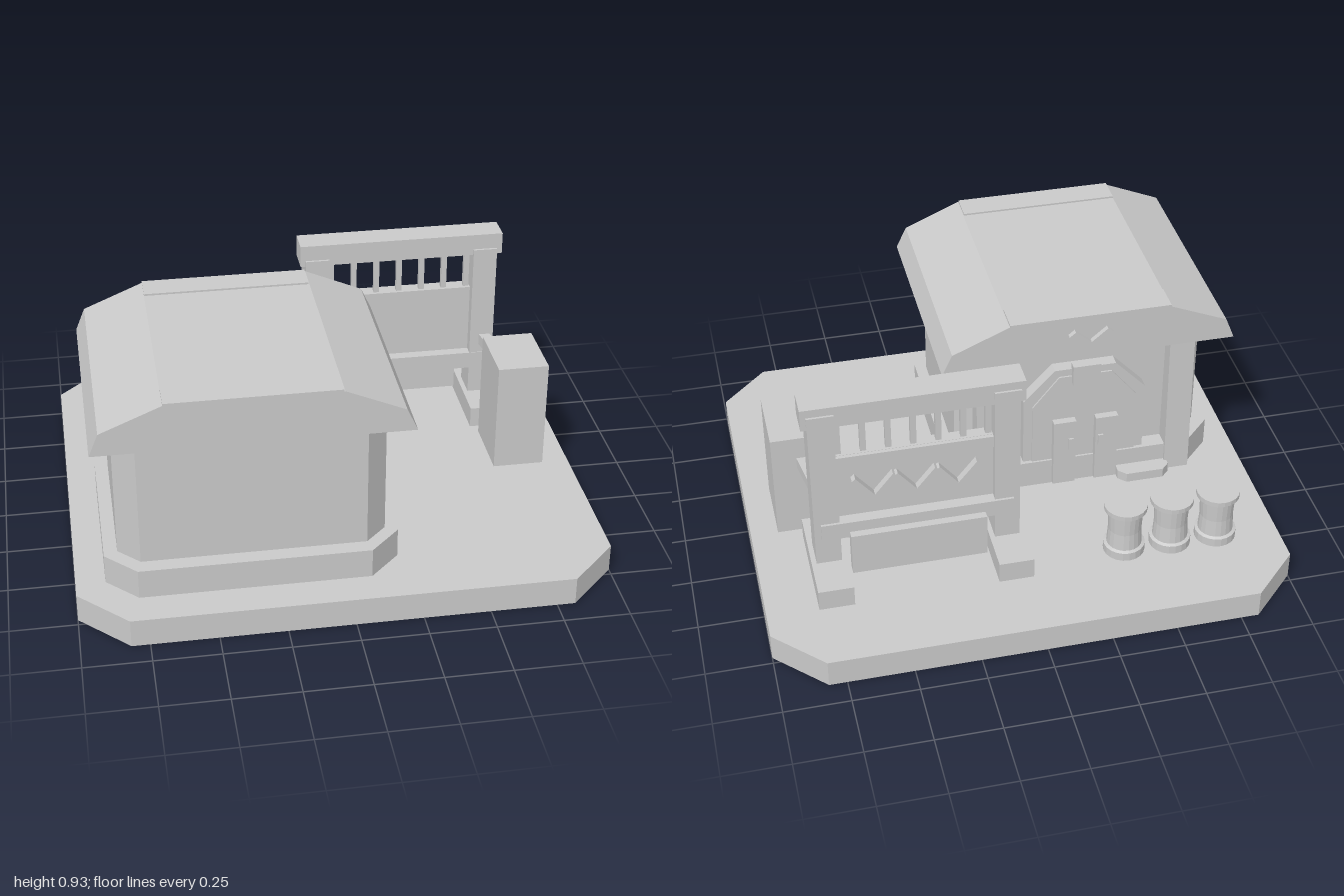
import * as THREE from 'three';

const stone = new THREE.MeshStandardMaterial({ color: 0xc9c9c9, flatShading: true, side: THREE.DoubleSide });
stone.name = 'plain grey';

function add(parent, name, geometry) {
  const m = new THREE.Mesh(geometry, stone);
  m.name = name;
  parent.add(m);
  return m;
}

function group(parent, name) {
  const g = new THREE.Group();
  g.name = name;
  parent.add(g);
  return g;
}

// Box given by its limits
function box(parent, name, [x0, x1], [y0, y1], [z0, z1]) {
  const m = add(parent, name, new THREE.BoxGeometry(x1 - x0, y1 - y0, z1 - z0));
  m.position.set((x0 + x1) / 2, (y0 + y1) / 2, (z0 + z1) / 2);
  return m;
}

function polygon(points) {
  return new THREE.Shape(points.map(([x, y]) => new THREE.Vector2(x, y)));
}

// Upright profile in x/y, extruded from z0 to z1
function profile(parent, name, points, z0, z1) {
  const g = new THREE.ExtrudeGeometry(polygon(points), { depth: z1 - z0, bevelEnabled: false });
  g.translate(0, 0, z0);
  return add(parent, name, g);
}

// Block with four cut corners in plan
function cutBlock(parent, name, [x0, x1], [y0, y1], [z0, z1], c) {
  const a = -z1, b = -z0;
  const shape = polygon([[x0 + c, a], [x1 - c, a], [x1, a + c], [x1, b - c],
    [x1 - c, b], [x0 + c, b], [x0, b - c], [x0, a + c]]);
  const g = new THREE.ExtrudeGeometry(shape, { depth: y1 - y0, bevelEnabled: false });
  g.rotateX(-Math.PI / 2);
  g.translate(0, y0, 0);
  return add(parent, name, g);
}

// The same block without its underside (the lower cap's six triangles come first)
function openCutBlock(...args) {
  const m = cutBlock(...args);
  const g = new THREE.BufferGeometry();
  g.setAttribute('position', new THREE.BufferAttribute(m.geometry.attributes.position.array.slice(54), 3));
  g.computeVertexNormals();
  m.geometry = g;
}

// V of two leaning strips
function chevron(parent, name, cx, [y0, y1], half, t, z0, z1) {
  return profile(parent, name, [[cx, y0], [cx + half, y1 - t * 0.5], [cx + half - t * 0.6, y1],
    [cx, y0 + t * 1.3], [cx - half + t * 0.6, y1], [cx - half, y1 - t * 0.5]], z0, z1);
}

function lathe(parent, name, points, sides, x, z) {
  const g = new THREE.LatheGeometry(points.map(([r, y]) => new THREE.Vector2(r, y)), sides);
  const m = add(parent, name, g);
  m.position.set(x, 0, z);
  return m;
}

function buildHouse(root) {
  const house = group(root, 'house');
  const cx = -0.345;
  cutBlock(house, 'footing', [-0.89, 0.195], [0.109, 0.225], [-0.1, 0.77], 0.115);
  cutBlock(house, 'walls', [-0.84, 0.15], [0.225, 0.74], [-0.035, 0.71], 0.08);
  profile(house, 'roof', [[-0.92, 0.738], [0.23, 0.738], [0.19, 0.824], [-0.03, 0.918],
    [-0.66, 0.918], [-0.885, 0.824]], -0.135, 0.79);
  for (const z of [-0.135, 0.68]) {
    box(house, 'ridgePlate', [-0.66, -0.033], [0.91, 0.925], [z, z + 0.11]);
  }
  box(house, 'sideWindow', [0.15, 0.159], [0.427, 0.56], [0.155, 0.56]);

  // Rear entrance
  const arch = (w, top, z0, z1, name) => profile(house, name, [[cx - w, 0.13], [cx + w, 0.13],
    [cx + w, top - 0.13], [cx + w / 2, top], [cx - w / 2, top], [cx - w, top - 0.13]], z0, z1);
  arch(0.245, 0.65, -0.085, -0.02, 'doorFrame');
  arch(0.21, 0.62, -0.092, -0.08, 'doorPanel');
  for (const s of [-1, 1]) {
    // Buttress thickening towards the ground
    const x = cx + s * 0.385;
    const pillar = box(house, 'porchPillar', [x - 0.05, x + 0.05], [0.11, 0.74], [-0.093, -0.02]);
    const p = pillar.geometry.attributes.position;
    for (let i = 0; i < p.count; i++) {
      if (p.getY(i) < 0 && p.getZ(i) < 0) p.setZ(i, p.getZ(i) - 0.022);
    }
    const px = cx + s * 0.085;
    box(house, 'doorLeaf', [px - 0.045, px + 0.045], [0.12, 0.42], [-0.122, -0.09]);
    box(house, 'doorHandle', [cx + s * 0.06 - 0.01, cx + s * 0.06 + 0.01], [0.29, 0.34], [-0.13, -0.12]);
  }
  box(house, 'doorSign', [cx - 0.055, cx + 0.055], [0.59, 0.675], [-0.112, -0.08]);
  chevron(house, 'gableOrnament', cx, [0.765, 0.87], 0.087, 0.04, -0.155, -0.13);
  cutBlock(house, 'entranceStep', [-0.69, -0.48], [0.11, 0.15], [-0.165, -0.06], 0.03);
  lathe(house, 'stoneLantern', [[0, 0.11], [0.055, 0.11], [0.055, 0.14], [0.038, 0.15], [0.042, 0.225],
    [0.06, 0.23], [0.035, 0.28], [0.035, 0.315], [0, 0.32]], 12, -0.01, -0.1);
}

function buildGate(root) {
  const gate = group(root, 'gate');
  const cx = 0.395;
  for (const s of [-1, 1]) {
    const x = cx + s * 0.342;
    box(gate, 'gateFoot', [x - 0.067, x + 0.067], [0.11, 0.195], [-0.625, -0.2]);
    box(gate, 'gatePost', [x - 0.048, x + 0.048], [0.195, 0.85], [-0.465, -0.345]);
    box(gate, 'beamCleat', [x - 0.05, x + 0.05], [0.85, 0.88], [-0.473, -0.36]);
  }
  box(gate, 'topBeam', [-0.015, 0.807], [0.825, 0.913], [-0.464, -0.355]);
  box(gate, 'middleRail', [0.03, 0.76], [0.31, 0.38], [-0.475, -0.342]);
  box(gate, 'upperRail', [0.1, 0.69], [0.615, 0.664], [-0.445, -0.4]);
  box(gate, 'gatePanel', [0.1, 0.69], [0.375, 0.665], [-0.43, -0.385]);
  box(gate, 'lowerBoard', [0.14, 0.655], [0.157, 0.335], [-0.505, -0.46]);
  for (let i = 0; i < 7; i++) {
    const x = cx + (i - 3) * 0.093;
    box(gate, 'gateBar', [x - 0.011, x + 0.011], [0.66, 0.83], [-0.42, -0.398]);
  }
  for (let i = -1; i <= 1; i++) {
    chevron(gate, 'zigzag', cx + i * 0.157, [0.455, 0.57], 0.083, 0.022, -0.46, -0.425);
  }
}

export function createModel() {
  const root = new THREE.Group();
  root.name = 'gatehouse';
  openCutBlock(root, 'base', [-1, 1], [0, 0.11], [-0.905, 0.905], 0.182);
  buildHouse(root);
  buildGate(root);

  // Cabinet with an arm reaching to the gate post
  box(root, 'cabinet', [0.695, 0.895], [0.11, 0.555], [-0.158, 0.115]);
  const arm = add(root, 'cabinetArm', new THREE.BoxGeometry(0.045, 0.045, 0.23));
  arm.position.set(0.763, 0.44, -0.255);
  arm.rotation.y = 0.16;

  // Row of drums
  for (const x of [-0.755, -0.572, -0.389]) {
    lathe(root, 'drum', [[0, 0.11], [0.08, 0.11], [0.08, 0.145], [0.068, 0.15], [0.064, 0.22],
      [0.068, 0.305], [0.083, 0.31], [0.083, 0.33], [0, 0.33]], 20, x, -0.54);
  }
  return root;
}
